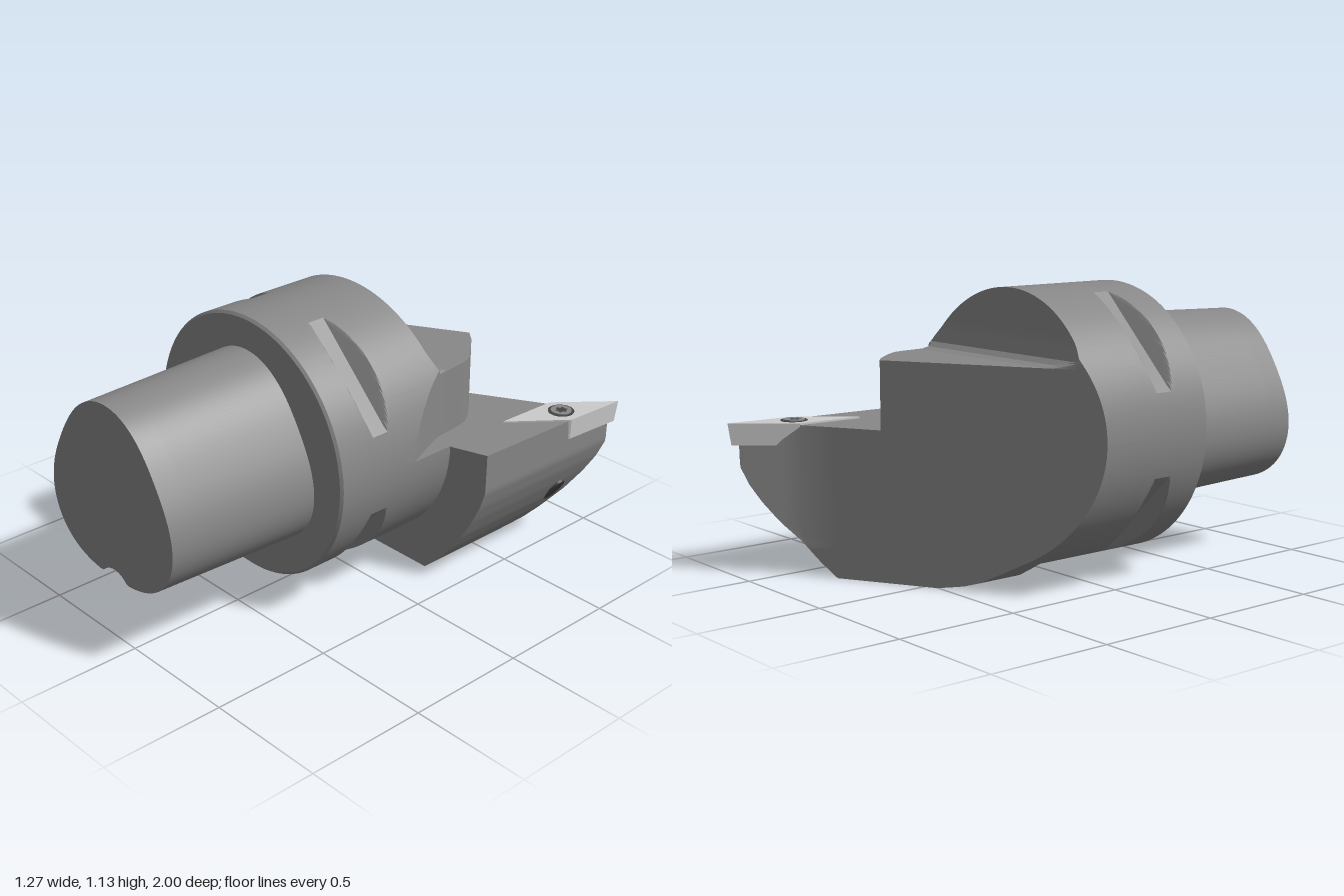
import * as THREE from 'three';
import { toCreasedNormals } from 'three/addons/utils/BufferGeometryUtils.js';

const CX = -0.1, CY = 0.595, R = 0.537;
const steel = new THREE.MeshStandardMaterial({ color: 0x888888 });
const carbide = new THREE.MeshStandardMaterial({ color: 0xcccccc });
const dark = new THREE.MeshStandardMaterial({ color: 0x444444 });

// Piecewise linear interpolation through [input, output] points
function lerpPoints(pts, t) {
  if (t <= pts[0][0]) return pts[0][1];
  for (let i = 1; i < pts.length; i++) {
    const [a, va] = pts[i - 1], [b, vb] = pts[i];
    if (t <= b) return va + (vb - va) * (t - a) / (b - a);
  }
  return pts[pts.length - 1][1];
}

// Collects quads into a geometry with sharp edges kept
function surface() {
  const pos = [];
  const tri = (a, b, c) => {
    const area = b.clone().sub(a).cross(c.clone().sub(a)).length();
    if (area > 1e-9) for (const p of [a, b, c]) pos.push(p.x, p.y, p.z);
  };
  return {
    quad(a, b, c, d) { tri(a, b, c); tri(a, c, d); },
    build() {
      const g = new THREE.BufferGeometry();
      g.setAttribute('position', new THREE.Float32BufferAttribute(pos, 3));
      return toCreasedNormals(g, 0.45);
    },
  };
}

// Solid made of rows in y, columns in x, with its own front and back depth
function slab(ys, cols, xL, xR, zF, zB, warp = p => p) {
  const s = surface();
  const side = zf => ys.map(y => cols.map(c => {
    const x = Math.min(Math.max(c, xL(y)), xR(y));
    return warp(new THREE.Vector3(x, y, zf(x, y)));
  }));
  const F = side(zF), B = side(zB), m = ys.length - 1, n = cols.length - 1;
  for (let j = 0; j < m; j++) {
    for (let i = 0; i < n; i++) {
      s.quad(F[j][i], F[j][i + 1], F[j + 1][i + 1], F[j + 1][i]);
      s.quad(B[j][i + 1], B[j][i], B[j + 1][i], B[j + 1][i + 1]);
    }
    s.quad(B[j][0], F[j][0], F[j + 1][0], B[j + 1][0]);
    s.quad(F[j][n], B[j][n], B[j + 1][n], F[j + 1][n]);
  }
  for (let i = 0; i < n; i++) {
    s.quad(B[0][i], B[0][i + 1], F[0][i + 1], F[0][i]);
    s.quad(F[m][i], F[m][i + 1], B[m][i + 1], B[m][i]);
  }
  return s.build();
}

// Solid swept along z from rows of [z, radius(angle)]
function sweep(rows, n = 144) {
  const s = surface();
  const P = rows.map(([z, r]) => Array.from({ length: n + 1 }, (_, i) => {
    const a = (i % n) / n * Math.PI * 2, q = r(a);
    return new THREE.Vector3(CX + q * Math.cos(a), CY + q * Math.sin(a), z);
  }));
  for (let j = 0; j < rows.length - 1; j++)
    for (let i = 0; i < n; i++) s.quad(P[j][i], P[j][i + 1], P[j + 1][i + 1], P[j + 1][i]);
  return s.build();
}

// Slanted back plane, bending towards the cutting tip
const slant = x => x < 0.45 ? -0.17 - 0.565 * (x + 0.637) : -0.784 - 1.1 * (x - 0.45);
const pocketWall = [[0.15, -0.615], [0.2, -0.575], [0.25, -0.52], [0.3, -0.46], [0.325, -0.42],
  [0.335, -0.38], [0.35, -0.24], [0.38, -0.16], [0.41, -0.09], [0.437, -0.03]];
const shelfFillet = [[0.863, -0.29], [0.872, -0.25], [0.89, -0.228], [0.95, -0.207], [1.132, -0.19]];
const midBack = x => x < 0.15 ? slant(x) : lerpPoints(pocketWall, x);

const halfChord = y => Math.sqrt(Math.max(0, R * R - (y - CY) ** 2));
const discL = y => CX - halfChord(y), discR = y => CX + halfChord(y);
const arcRows = (from, to) => {
  const ys = [];
  for (let a = from; a <= to; a += 2.5) ys.push(CY + R * Math.sin(a * Math.PI / 180));
  return ys;
};

export function createModel() {
  const root = new THREE.Group();
  const add = (name, geometry, material = steel) => {
    const mesh = new THREE.Mesh(geometry, material);
    mesh.name = name;
    root.add(mesh);
    return mesh;
  };

  // Tapered three-lobed shank with a notch at its end
  const lobe = k => a => k * (0.378 + 0.028 * Math.cos(3 * (a - Math.PI / 2)));
  const notched = k => a => {
    const f = a + Math.PI / 2, c = 0.395, d = 0.01 - (c * Math.sin(f)) ** 2;
    const r = lobe(k)(a);
    return d > 0 && Math.cos(f) > 0 ? Math.min(r, c * Math.cos(f) - Math.sqrt(d)) : r;
  };
  const zero = () => 0;
  add('shank', sweep([[0.34, lobe(1)], [0.9, lobe(0.957)], [0.9, notched(0.957)],
    [1, notched(0.95)], [1, zero]]));

  // Flange ring with four gripper grooves
  const depth = [[0.06, R], [0.1, R * 0.887], [0.17, R * 0.887], [0.21, R]];
  const grooved = z => a => {
    const f = (a % (Math.PI / 2)) - Math.PI / 4;
    return Math.min(R, lerpPoints(depth, z) / Math.cos(f));
  };
  const rings = [[0.04, () => R]];
  for (let z = 0.06; z < 0.2101; z += 0.005) rings.push([z, grooved(z)]);
  rings.push([0.34, () => R], [0.35, () => R - 0.01], [0.35, zero]);
  add('flange', sweep(rings));

  // Rear of the flange: lower half, shelf beside the pocket, upper part
  const cols = [-0.64, -0.6, -0.56, -0.53, -0.49, -0.45, -0.42, -0.3, -0.1, 0.05,
    ...pocketWall.map(p => p[0]), 0.45];
  const front = () => 0.04;
  add('flangeLower', slab(arcRows(-90, 0), cols, discL, discR, front,
    x => Math.max(-0.23, slant(x))));
  add('shelf', slab(arcRows(0, 30), cols, discL, discR, front, midBack));
  const upperRows = [...arcRows(30, 90), ...shelfFillet.slice(1, 3).map(p => p[0])]
    .sort((a, b) => a - b);
  add('flangeUpper', slab(upperRows, cols, discL, discR, front,
    (x, y) => Math.max(lerpPoints(shelfFillet, y), midBack(x))));

  // Cutting head below the pocket floor
  const leftEdge = [[0, -0.05], [0.012, -0.13], [0.035, -0.2], [0.085, -0.29], [0.15, -0.402]];
  const rightEdge = [[0, 0.32], [0.06, 0.385], [0.13, 0.448], [0.21, 0.508], [0.29, 0.555],
    [0.36, 0.588], [0.43, 0.61], [0.595, 0.612]];
  const headRows = Array.from({ length: 36 }, (_, i) => i * CY / 35);
  const headCols = [-0.64, -0.6, -0.548, -0.4, -0.2, 0, 0.2, 0.32, 0.45, 0.5, 0.55, 0.62];
  add('cuttingHead', slab(headRows, headCols,
    y => y < 0.15 ? lerpPoints(leftEdge, y) : discL(y),
    y => lerpPoints(rightEdge, y),
    x => Math.max(-0.22 - 0.28 * Math.max(0, x - 0.45), slant(x)),
    x => slant(x),
    p => {
      if (p.x > 0.45) p.x -= 0.035 * (p.z + 0.9) * (p.x - 0.45) / 0.16;
      return p;
    }));

  // Rhombic insert, narrowing downwards
  const corners = [[0.63, -1], [0.613, -0.73], [0.44, -0.515], [0.45, -0.785]];
  const ins = surface();
  const level = (y, k) => corners.map(([x, z]) =>
    new THREE.Vector3(0.535 + (x - 0.535) * k, y, -0.757 + (z + 0.757) * k));
  const top = level(0.602, 1), low = level(0.515, 0.95);
  ins.quad(top[3], top[2], top[1], top[0]);
  ins.quad(...low);
  for (let i = 0; i < 4; i++) {
    const j = (i + 1) % 4;
    ins.quad(low[j], low[i], top[i], top[j]);
  }
  const insertGeometry = ins.build();
  add('insert', insertGeometry, new THREE.MeshStandardMaterial({
    color: carbide.color, side: THREE.DoubleSide }));

  // Clamping screw with a six-lobed socket
  const seat = add('screwSeat', new THREE.CylinderGeometry(0.053, 0.053, 0.01, 32), dark);
  seat.position.set(0.532, 0.599, -0.76);
  const head = new THREE.Shape().absarc(0, 0, 0.042, 0, Math.PI * 2);
  head.holes.push(new THREE.Path(Array.from({ length: 48 }, (_, i) => {
    const a = -i / 48 * Math.PI * 2, r = 0.023 + 0.004 * Math.cos(6 * a);
    return new THREE.Vector2(r * Math.cos(a), r * Math.sin(a));
  })));
  const screw = add('screwHead', new THREE.ExtrudeGeometry(head,
    { depth: 0.006, bevelEnabled: false, curveSegments: 24 }), steel);
  screw.rotation.x = -Math.PI / 2;
  screw.position.set(0.532, 0.602, -0.76);

  // Coolant outlet on the flank
  const outlet = add('coolantOutlet', new THREE.CylinderGeometry(0.045, 0.045, 0.012, 24), dark);
  outlet.rotation.z = -2.18;
  outlet.scale.set(1.45, 1, 0.9);
  outlet.position.set(0.521, 0.24, -0.76);
  return root;
}
